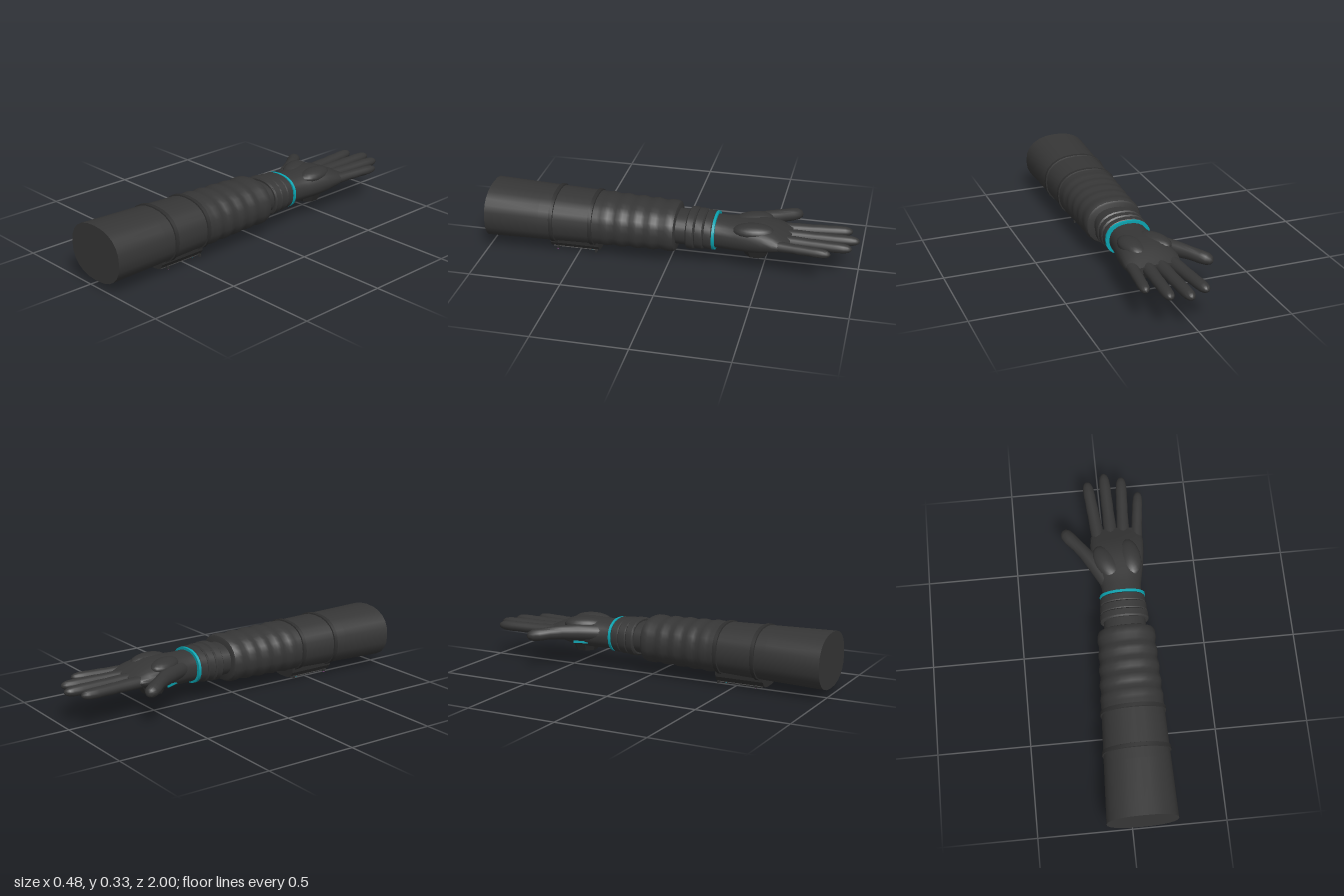
import * as THREE from 'three';
import { toCreasedNormals } from 'three/addons/utils/BufferGeometryUtils.js';

const mat = (name, color) => Object.assign(new THREE.MeshStandardMaterial({ color }), { name });
const UP = new THREE.Vector3(0, 1, 0);
const FORWARD = [0, 0, -1];

// Closed skin through rounded cross-sections; each row is [x, y, z, rx, ry]
function loft(rows, dir = FORWARD, n = 24, power = 2.3) {
  const side = new THREE.Vector3(...dir).cross(UP).normalize();
  const round = v => Math.sign(v) * Math.abs(v) ** (2 / power);
  const pos = [], idx = [];
  for (const [x, y, z, rx, ry] of rows) {
    for (let j = 0; j < n; j++) {
      const a = (j / n) * Math.PI * 2;
      const u = round(Math.cos(a)) * rx, v = round(Math.sin(a)) * ry;
      pos.push(x + side.x * u, y + v, z + side.z * u);
    }
  }
  const last = rows.length - 1, c0 = rows.length * n;
  pos.push(...rows[0].slice(0, 3), ...rows[last].slice(0, 3));
  for (let j = 0; j < n; j++) {
    const k = (j + 1) % n;
    for (let i = 0; i < last; i++) {
      const a = i * n + j, b = i * n + k;
      idx.push(a, a + n, b, b, a + n, b + n);
    }
    idx.push(c0, j, k, c0 + 1, last * n + k, last * n + j);
  }
  const g = new THREE.BufferGeometry();
  g.setAttribute('position', new THREE.Float32BufferAttribute(pos, 3));
  g.setIndex(idx);
  return toCreasedNormals(g, 0.7);
}

// Cross-section row from its extents
const section = (z, x0, x1, y0, y1) => [(x0 + x1) / 2, (y0 + y1) / 2, z, (x1 - x0) / 2, (y1 - y0) / 2];

// Tapering sleeve outline at a given z, grown by d
function sleeveAt(z, d = 0) {
  const t = (1 - z) / 1.04, L = THREE.MathUtils.lerp;
  return section(z, L(-0.137, -0.085, t) - d, L(0.238, 0.22, t) + d, L(0.037, 0.063, t) - d, L(0.332, 0.307, t) + d);
}

export function createModel() {
  const cloth = mat('charcoal', 0x363636);
  const trim = mat('dark charcoal', 0x2e2e2e);
  const teal = mat('teal', 0x0aa3b0);
  const purple = mat('purple', 0xb455b8);
  const model = new THREE.Group();
  model.name = 'glovedArm';
  const add = (name, geo, material, x = 0, y = 0, z = 0) => {
    const m = new THREE.Mesh(geo, material);
    m.name = name;
    m.position.set(x, y, z);
    model.add(m);
    return m;
  };

  // Sleeve with soft wrinkles towards the wrist
  const sleeve = [sleeveAt(1), sleeveAt(0.7), sleeveAt(0.38)];
  for (let z = 0.36; z > 0.02; z -= 0.02) {
    sleeve.push(sleeveAt(z, 0.004 * Math.sin((0.36 - z) * 75)));
  }
  sleeve.push(sleeveAt(0.01, 0.004), sleeveAt(-0.02, 0.004), sleeveAt(-0.035, -0.002), sleeveAt(-0.04, -0.012));
  add('sleeve', loft(sleeve), cloth);
  for (const z of [0.63, 0.415]) {
    add('sleeveBand', loft([sleeveAt(z + 0.013, -0.003), sleeveAt(z + 0.01, 0.007),
      sleeveAt(z - 0.01, 0.007), sleeveAt(z - 0.013, -0.003)]), trim);
  }

  // Wrist and its stepped cuff
  add('wrist', loft([section(0, -0.05, 0.18, 0.1, 0.272), section(-0.24, -0.045, 0.18, 0.1, 0.268)]), cloth);
  const cuffs = [[-0.095, -0.142, 0.008], [-0.14, -0.19, 0.004], [-0.188, -0.237, 0]];
  for (const [a, b, d] of cuffs) {
    const ring = (z, e) => section(z, -0.057 - e, 0.19 + e, 0.09 - e, 0.28 + e);
    add('cuffBand', loft([ring(a, d - 0.008), ring(a - 0.007, d), ring(b + 0.007, d), ring(b, d - 0.008)]), cloth);
  }
  add('cuffRing', loft([section(-0.236, -0.056, 0.192, 0.091, 0.278), section(-0.25, -0.056, 0.192, 0.091, 0.278)]), teal);

  // Palm
  add('palm', loft([
    section(-0.235, -0.035, 0.172, 0.1, 0.265), section(-0.3, -0.04, 0.176, 0.1, 0.262),
    section(-0.36, -0.055, 0.188, 0.102, 0.263), section(-0.43, -0.072, 0.202, 0.105, 0.267),
    section(-0.5, -0.08, 0.211, 0.112, 0.264), section(-0.56, -0.08, 0.216, 0.132, 0.245),
    section(-0.61, -0.072, 0.212, 0.15, 0.222), section(-0.645, -0.05, 0.19, 0.165, 0.208),
  ]), cloth);

  // Palm pads: heel below the little finger, and thumb mound
  for (const [x, z, rx, rz, turn] of [[0.13, -0.45, 0.06, 0.11, 0.1], [0, -0.43, 0.06, 0.11, 0.45]]) {
    const pad = add('palmPad', new THREE.SphereGeometry(1, 20, 12), cloth, x, 0.235, z);
    pad.scale.set(rx, 0.038, rz);
    pad.rotation.y = turn;
  }

  // Fingers: root and tip as [x, y, z], with radius
  const profile = [[0, 1.1], [0.3, 1.08], [0.48, 0.98], [0.55, 1.02], [0.7, 0.95], [0.78, 0.98],
    [0.9, 0.88], [0.95, 0.72], [0.985, 0.42], [1, 0.05]];
  const finger = (name, a, b, r) => {
    const dir = [b[0] - a[0], 0, b[2] - a[2]];
    const rows = profile.map(([t, s]) => [...a.map((v, i) => v + (b[i] - v) * t), r * s, r * s * 0.88]);
    add(name, loft(rows, dir, 16, 2), cloth);
  };
  finger('indexFinger', [-0.025, 0.183, -0.55], [-0.064, 0.187, -0.955], 0.033);
  finger('middleFinger', [0.042, 0.185, -0.55], [0.034, 0.185, -1], 0.033);
  finger('ringFinger', [0.105, 0.185, -0.55], [0.13, 0.187, -0.967], 0.032);
  finger('littleFinger', [0.17, 0.187, -0.5], [0.216, 0.19, -0.865], 0.029);

  // Thumb
  add('thumb', loft([
    [0.0, 0.195, -0.33, 0.045, 0.045], [-0.06, 0.198, -0.44, 0.046, 0.045], [-0.11, 0.199, -0.51, 0.036, 0.04],
    [-0.15, 0.196, -0.565, 0.034, 0.035], [-0.185, 0.19, -0.61, 0.037, 0.034], [-0.207, 0.188, -0.64, 0.034, 0.031],
    [-0.22, 0.186, -0.658, 0.022, 0.02], [-0.225, 0.185, -0.665, 0.004, 0.004],
  ], [-0.62, 0, -0.78], 16, 2), cloth);
  const accent = add('thumbAccent', new THREE.BoxGeometry(0.008, 0.012, 0.08), teal, -0.058, 0.143, -0.42);
  accent.rotation.y = 0.4;

  // Gem and its mount on the back of the hand
  const mount = add('gemMount', toCreasedNormals(new THREE.CylinderGeometry(0.085, 0.06, 0.05, 8), 0.4), trim, 0.075, 0.1, -0.46);
  mount.rotation.y = Math.PI / 8;
  add('gem', new THREE.SphereGeometry(1, 24, 14), purple, 0.08, 0.077, -0.46).scale.set(0.042, 0.013, 0.042);

  // Forearm device below the sleeve
  const half = [[0.094, 0.075], [0.09, 0.043], [0.075, 0.02], [0.055, 0.01], [0.025, 0.006]];
  const outline = [...half.map(([x, y]) => [-x, y]), ...half.reverse()].map(p => new THREE.Vector2(...p));
  const body = new THREE.ExtrudeGeometry(new THREE.Shape(outline), { depth: 0.27, bevelEnabled: false });
  add('deviceBody', body, trim, 0.056, 0, 0.39);
  add('deviceScreen', new THREE.BoxGeometry(0.034, 0.007, 0.13), teal, 0.056, 0.0035, 0.55);
  for (const s of [-1, 0, 1]) {
    const bar = add('deviceStrip', new THREE.BoxGeometry(0.048, 0.004, 0.016), teal, 0.056 + s * 0.043, s ? 0.0075 : 0.005, 0.44);
    bar.rotation.z = s * 0.16;
  }
  for (const s of [-1, 1]) {
    const rail = add('deviceRail', new THREE.BoxGeometry(0.012, 0.008, 0.25), cloth, 0.056 + s * 0.063, 0.013, 0.525);
    rail.rotation.z = s * 0.45;
    for (const z of [0.62, 0.405]) {
      add('deviceStud', new THREE.BoxGeometry(0.01, 0.013, 0.012), trim, 0.056 + s * 0.084, 0.015, z);
      add('studArm', new THREE.BoxGeometry(0.02, 0.006, 0.008), trim, 0.056 + s * 0.075, 0.02, z);
    }
    add('studLight', new THREE.BoxGeometry(0.006, 0.004, 0.008), purple, 0.056 + s * 0.084, 0.008, 0.62);
  }
  return model;
}
